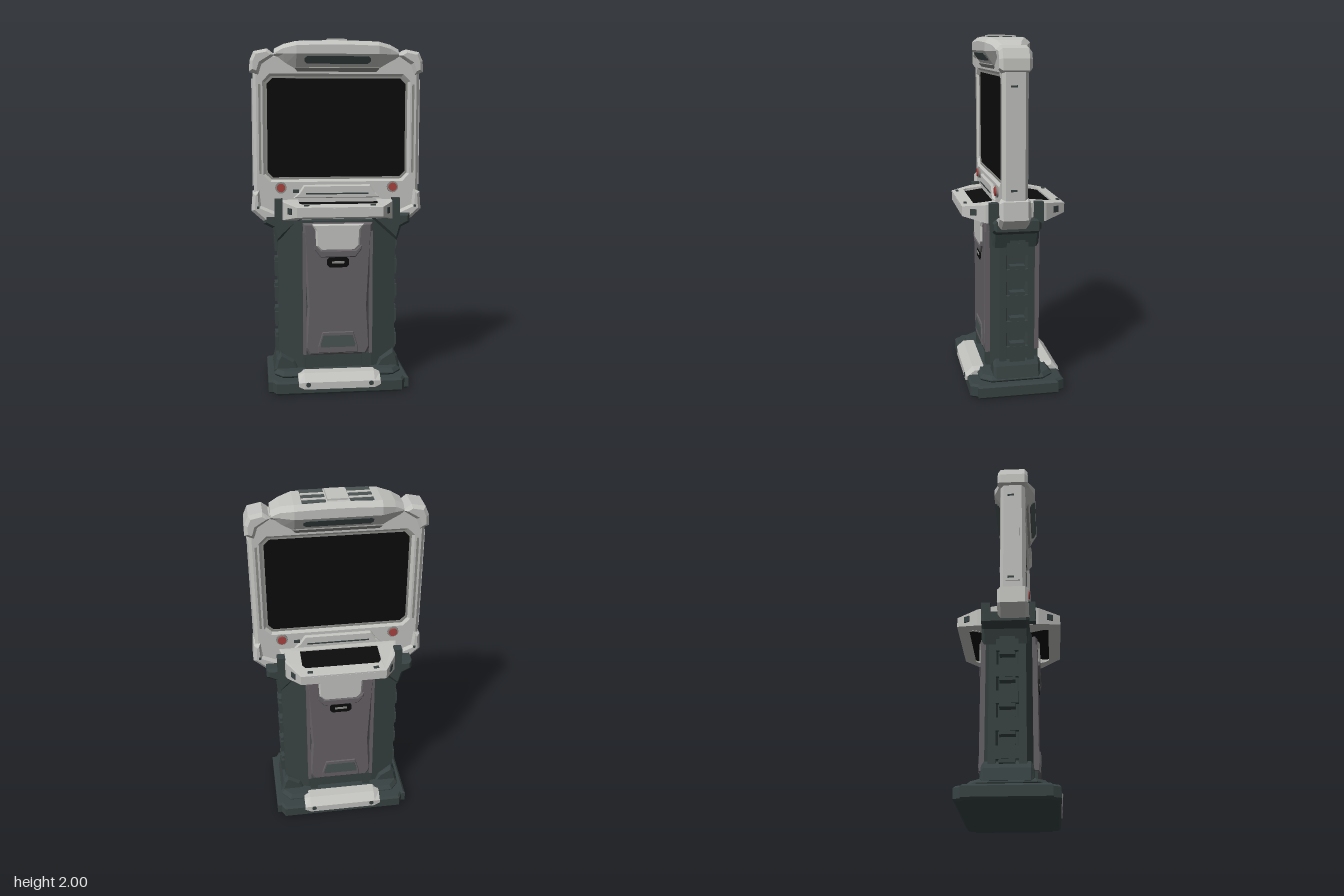
import * as THREE from 'three';

const mat = (name, color) => Object.assign(new THREE.MeshStandardMaterial({ color }), { name });

export function createModel() {
  const light = mat('light grey shell', 0xc2c2bf);
  const mid = mat('mid grey trim', 0x8d8d8a);
  const dark = mat('dark green grey', 0x384242);
  const vent = mat('vent grey', 0x4a5453);
  const panelGrey = mat('warm grey panel', 0x656165);
  const black = mat('screen black', 0x0b0b0b);
  const red = mat('button red', 0xa8423f);
  const root = new THREE.Group();
  root.name = 'kiosk';

  const add = (parent, name, geo, m, x = 0, y = 0, z = 0) => {
    const mesh = new THREE.Mesh(geo, m);
    mesh.name = name;
    mesh.position.set(x, y, z);
    parent.add(mesh);
    return mesh;
  };
  const group = (parent, name) => {
    const g = new THREE.Group();
    g.name = name;
    parent.add(g);
    return g;
  };
  const box = (w, h, d) => new THREE.BoxGeometry(w, h, d);
  // Mirror a half outline (x > 0) across x = 0
  const mirror = (pts) => [...pts, ...pts.map(([x, y]) => [-x, y]).reverse()];
  const chamfered = (w, y0, y1, c) => mirror([[w - c, y0], [w, y0 + c], [w, y1 - c], [w - c, y1]]);
  const toShape = (pts, holes = []) => {
    const v = (a) => a.map(([x, y]) => new THREE.Vector2(x, y));
    const s = new THREE.Shape(v(pts));
    s.holes = holes.map((h) => new THREE.Path(v(h)));
    return s;
  };
  // Slab of an xy outline between z0 and z1, with bevelled rims
  const slab = (pts, z0, z1, bevel = 0, holes = []) => {
    const g = new THREE.ExtrudeGeometry(toShape(pts, holes), {
      depth: z1 - z0 - 2 * bevel, bevelEnabled: bevel > 0, bevelSize: bevel,
      bevelThickness: bevel, bevelOffset: -bevel, bevelSegments: 1,
    });
    return g.translate(0, 0, z0 + bevel);
  };
  // Slab of an xz outline between y0 and y1
  const floorSlab = (pts, y0, y1, bevel = 0, holes = []) => {
    const flip = (a) => a.map(([x, z]) => [x, -z]);
    return slab(flip(pts), y0, y1, bevel, holes.map(flip)).rotateX(-Math.PI / 2);
  };
  // Loft of closed [z, y] loops placed at rising x
  const loft = (sections) => {
    const pos = [], idx = [], n = sections[0].loop.length;
    sections.forEach(({ x, loop }) => loop.forEach(([z, y]) => pos.push(x, y, z)));
    for (let s = 0; s < sections.length - 1; s++)
      for (let i = 0; i < n; i++) {
        const a = s * n + i, b = s * n + (i + 1) % n;
        idx.push(a, b, a + n, b, b + n, a + n);
      }
    const last = (sections.length - 1) * n;
    for (let i = 1; i < n - 1; i++) idx.push(0, i + 1, i, last, last + i, last + i + 1);
    const g = new THREE.BufferGeometry();
    g.setAttribute('position', new THREE.Float32BufferAttribute(pos, 3));
    g.setIndex(idx);
    const flat = g.toNonIndexed();
    flat.computeVertexNormals();
    return flat;
  };
  const disc = (r, h, n = 8) => new THREE.CylinderGeometry(r, r, h, n).rotateX(Math.PI / 2);
  // Build the same details on front and back
  const bothFaces = (parent, name, build) => [0, Math.PI].forEach((a, i) => {
    const g = group(parent, (i ? 'back ' : 'front ') + name);
    g.rotation.y = a;
    build(g);
  });

  // Base
  const base = group(root, 'base');
  const foot = mirror([[0.36, -0.27], [0.38, -0.23], [0.405, -0.23], [0.405, 0.23], [0.38, 0.23], [0.36, 0.27]]);
  add(base, 'foot', floorSlab(foot, 0, 0.08, 0.012), dark);
  add(base, 'foot step', floorSlab(mirror([[0.32, -0.21], [0.37, -0.15], [0.37, 0.15], [0.32, 0.21]]), 0.07, 0.115, 0.02), dark);
  bothFaces(base, 'kick plate', (g) => {
    const inner = [[0.277, 0.035], [0.17, 0.035], [0.17, 0.118], [0.235, 0.118], [0.277, 0.075]];
    const outer = [[0.272, 0.05], [0.19, 0.05], [0.19, 0.105], [0.225, 0.105], [0.272, 0.07]];
    add(g, 'kick plate', loft([
      { x: -0.235, loop: outer }, { x: -0.2, loop: inner }, { x: 0.2, loop: inner }, { x: 0.235, loop: outer },
    ].map((s) => ({ x: s.x, loop: [...s.loop].reverse() })).map((s) => ({ x: s.x, loop: s.loop.reverse() }))), light).material.side = THREE.DoubleSide;
    for (const x of [-0.18, 0.18]) add(g, 'kick plate bolt', disc(0.014, 0.006), dark, x, 0.062, 0.278);
  });

  // Column with recessed, ribbed sides
  const column = group(root, 'column');
  const quarter = [[0.31, 0.05], [0.34, 0.06], [0.34, 0.1], [0.27, 0.115], [0.2, 0.13]];
  const section = mirror([...quarter.map(([x, z]) => [x, -z]).reverse(), ...quarter]);
  add(column, 'column core', floorSlab(section, 0.1, 0.98), dark);
  for (const s of [-1, 1]) {
    for (let i = 0; i < 5; i++) {
      add(column, 'side rib', box(0.05, 0.11, 0.085), dark, s * 0.333, 0.25 + i * 0.15, 0);
      add(column, 'side rib cap', box(0.02, 0.07, 0.12), dark, s * 0.35, 0.25 + i * 0.15, 0);
    }
    // Flared shoulders and ankles
    const shoulder = slab([[0.2, 0.99], [0.3, 0.9], [0.345, 0.86], [0.37, 0.94], [0.42, 0.965], [0.42, 1.02], [0.2, 1.02]], -0.12, 0.14, 0.015);
    const ankle = slab([[0.22, 0.1], [0.37, 0.1], [0.355, 0.17], [0.33, 0.21], [0.25, 0.16]], -0.135, 0.135, 0.015);
    for (const [n, g] of [['shoulder', shoulder], ['ankle', ankle]]) {
      const m = add(column, n, g, dark);
      if (s < 0) m.rotation.y = Math.PI;
    }
    for (const z of [-0.12, 0.13]) add(column, 'shoulder strut', box(0.045, 0.12, 0.05), dark, s * 0.335, 1.05, z);
  }
  bothFaces(column, 'column panel', (g) => {
    const outline = mirror([[0.165, 0.195], [0.19, 0.24], [0.175, 0.48], [0.19, 0.78], [0.2, 0.97]]);
    add(g, 'column panel', slab(outline, 0.1, 0.16, 0.012), panelGrey);
    for (const s of [-1, 1]) {
      add(g, 'panel edge rail', box(0.018, 0.72, 0.04), panelGrey, s * 0.192, 0.56, 0.138);
      add(g, 'panel foot', box(0.045, 0.1, 0.05), dark, s * 0.165, 0.15, 0.13);
    }
    add(g, 'neck bracket', slab(mirror([[0.095, 0.81], [0.125, 0.84], [0.13, 0.93], [0.15, 0.965]]), 0.13, 0.172, 0.01), light);
    add(g, 'neck bracket lip', slab(mirror([[0.1, 0.775], [0.135, 0.82], [0.135, 0.845], [0.1, 0.815]]), 0.13, 0.174, 0.005), panelGrey);
    add(g, 'port', slab(chamfered(0.063, 0.715, 0.775, 0.015), 0.158, 0.165), black);
    add(g, 'port cover', box(0.07, 0.012, 0.006), mid, 0, 0.745, 0.166);
    add(g, 'vent frame', slab(mirror([[0.115, 0.21], [0.115, 0.25], [0.09, 0.335]]), 0.15, 0.167, 0.004), panelGrey);
    add(g, 'vent', slab(mirror([[0.1, 0.245], [0.1, 0.265], [0.085, 0.315]]), 0.165, 0.17), vent);
  });

  // Shelves: tapering towards the outer lip
  bothFaces(root, 'shelf', (g) => {
    const outline = mirror([[0.34, 0.03], [0.31, 0.17], [0.24, 0.29]]);
    const tray = mirror([[0.235, 0.06], [0.235, 0.2], [0.215, 0.235]]);
    const geo = floorSlab(outline, 0, 1, 0.012, [tray]);
    const p = geo.attributes.position;
    for (let i = 0; i < p.count; i++) {
      const t = Math.max(0, p.getZ(i) - 0.1);
      p.setY(i, THREE.MathUtils.lerp(0.975 + t * 0.25, 1.105 - t * 0.14, p.getY(i)));
    }
    geo.computeVertexNormals();
    add(g, 'shelf', geo, light);
    add(g, 'tray pad', box(0.47, 0.05, 0.19), black, 0, 1.055, 0.145).rotation.x = 0.14;
    add(g, 'shelf lip', box(0.38, 0.045, 0.012), light, 0, 1.048, 0.285);
    for (const s of [-1, 1]) {
      const bolt = add(g, 'shelf bolt', box(0.035, 0.035, 0.008), dark, s * 0.276, 1.05, 0.232);
      bolt.rotation.y = s * 1.04;
      add(g, 'shelf stud', box(0.03, 0.006, 0.016), dark, s * 0.185, 1.087, 0.265);
    }
  });

  // Head
  const head = group(root, 'head');
  head.position.z = 0.035;
  const opening = chamfered(0.4, 1.22, 1.79, 0.03);
  const shell = mirror([[0.39, 0.985], [0.472, 1.08], [0.472, 1.85], [0.4, 1.92]]);
  add(head, 'screen frame', slab(shell, -0.07, 0.07, 0.018, [opening]), light);
  add(head, 'bezel', slab(chamfered(0.415, 1.205, 1.805, 0.03), -0.056, 0.056, 0, [chamfered(0.393, 1.228, 1.783, 0.03)]), mid);
  add(head, 'screen', slab(chamfered(0.41, 1.21, 1.8, 0.03), -0.05, 0.05), black);

  // Corner armour, mirrored by half a turn
  for (const a of [0, Math.PI]) {
    const g = group(head, 'corner armour');
    g.rotation.y = a;
    add(g, 'upper corner', slab([[0.44, 1.8], [0.49, 1.82], [0.487, 1.88], [0.465, 1.93], [0.39, 1.945], [0.345, 1.91], [0.42, 1.86]], -0.087, 0.087, 0.018), light);
    add(g, 'lower corner', slab([[0.44, 1.16], [0.48, 1.14], [0.488, 1.04], [0.41, 0.97], [0.3, 0.99], [0.34, 1.03], [0.43, 1.07]], -0.085, 0.085, 0.018), light);
    add(g, 'side rail', box(0.012, 0.6, 0.08), light, 0.473, 1.48, 0);
    for (const y of [1.2, 1.74]) add(g, 'side notch', box(0.006, 0.012, 0.035), dark, 0.478, y, 0.01);
  }

  // Top cap and hood
  const capLoop = (d, top, low) => [[d, 1.915], [d, top - 0.025], [d - 0.03, top], [0.03 - d, top],
    [-d, top - 0.025], [-d, 1.915], [-0.055, low], [0.055, low]].reverse();
  const half = [[0.06, 0.124, 1.99, 1.81], [0.23, 0.124, 1.985, 1.81], [0.3, 0.095, 1.97, 1.85], [0.35, 0.08, 1.945, 1.89]];
  const spans = [...half.map(([x, ...r]) => [-x, ...r]).reverse(), ...half];
  const cap = add(head, 'top cap', loft(spans.map(([x, ...r]) => ({ x, loop: capLoop(...r) }))), light);
  cap.material.side = THREE.DoubleSide;
  add(head, 'top ridge', box(0.11, 0.012, 0.15), light, 0, 1.994, 0);
  for (const s of [-1, 1]) {
    add(head, 'top vent', box(0.125, 0.008, 0.184), vent, s * 0.125, 1.987, 0);
    for (const z of [-0.045, 0.025]) add(head, 'vent bar', box(0.125, 0.008, 0.022), light, s * 0.125, 1.99, z);
  }

  // Face details: hood vent, control strip, buttons
  bothFaces(head, 'face details', (g) => {
    const slope = Math.atan2(0.069, 0.105);
    add(g, 'hood vent', slab(chamfered(0.185, -0.024, 0.024, 0.015), 0, 0.006), vent, 0, 1.885, 0.105).rotation.x = slope;
    add(g, 'hood brow', slab(mirror([[0.22, -0.014], [0.24, 0.014]]), 0, 0.007), mid, 0, 1.832, 0.07).rotation.x = slope;
    add(g, 'control strip', slab(mirror([[0.25, 1.11], [0.22, 1.14], [0.19, 1.185]]), 0.06, 0.085, 0.008), light);
    add(g, 'strip groove', box(0.36, 0.008, 0.006), dark, 0, 1.135, 0.084);
    add(g, 'small socket', box(0.035, 0.018, 0.006), dark, -0.235, 1.15, 0.074);
    for (const s of [-1, 1]) {
      add(g, 'button ring', disc(0.033, 0.02, 12), mid, s * 0.32, 1.17, 0.07);
      add(g, 'button', disc(0.024, 0.02, 12), red, s * 0.32, 1.17, 0.078);
      add(g, 'frame rail', box(0.012, 0.5, 0.008), mid, s * 0.435, 1.5, 0.069);
      add(g, 'frame bolt', disc(0.008, 0.006), dark, s * 0.45, 1.06, 0.086);
    }
  });

  return root;
}
